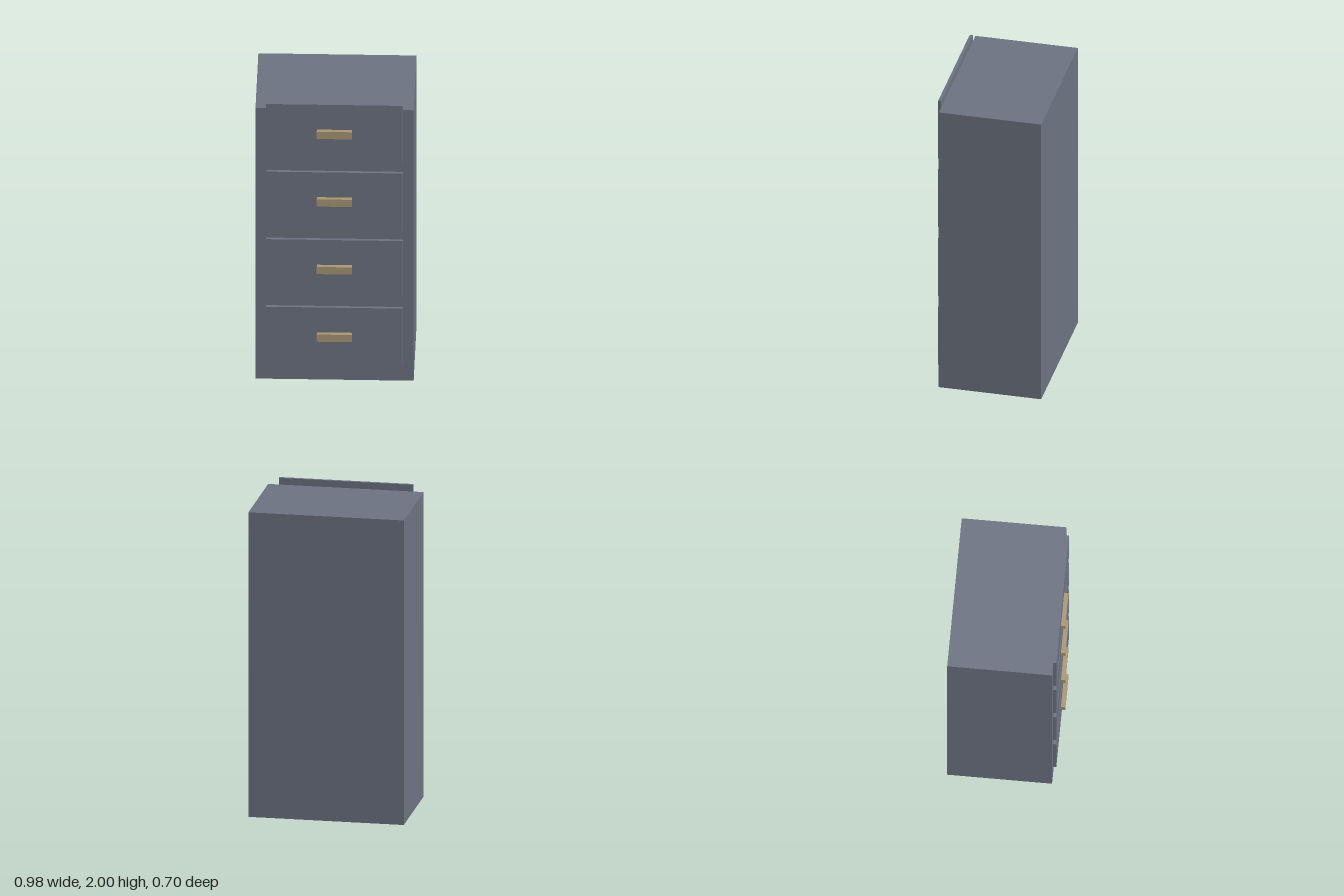
import * as THREE from 'three';

export function createModel() {
  const cabinet = new THREE.Group();
  cabinet.name = 'filingCabinet';

  const steel = new THREE.MeshStandardMaterial({ name: 'slate grey steel', color: 0x6b7280 });
  const brass = new THREE.MeshStandardMaterial({ name: 'dull brass', color: 0xa89674 });

  // Box placed by its centre x = 0, centre height y and back face z
  const addBox = (parent, name, material, [w, h, d], y, zBack) => {
    const mesh = new THREE.Mesh(new THREE.BoxGeometry(w, h, d), material);
    mesh.name = name;
    mesh.position.set(0, y, zBack + d / 2);
    parent.add(mesh);
  };

  // Carcass
  const height = 1.957, back = -0.349, front = 0.302;
  addBox(cabinet, 'body', steel, [0.978, height, front - back], height / 2, back);

  // Four drawers, the top one rising just above the carcass
  const pitch = 0.489, panelDepth = 0.02;
  for (let i = 0; i < 4; i++) {
    const drawer = new THREE.Group();
    drawer.name = `drawer${i + 1}`;
    drawer.position.y = 0.327 + i * pitch;
    addBox(drawer, 'drawerFront', steel, [0.844, 0.411, panelDepth], 0, front);
    addBox(drawer, 'handle', brass, [0.218, 0.052, 0.027], 0, front + panelDepth);
    cabinet.add(drawer);
  }
  return cabinet;
}
